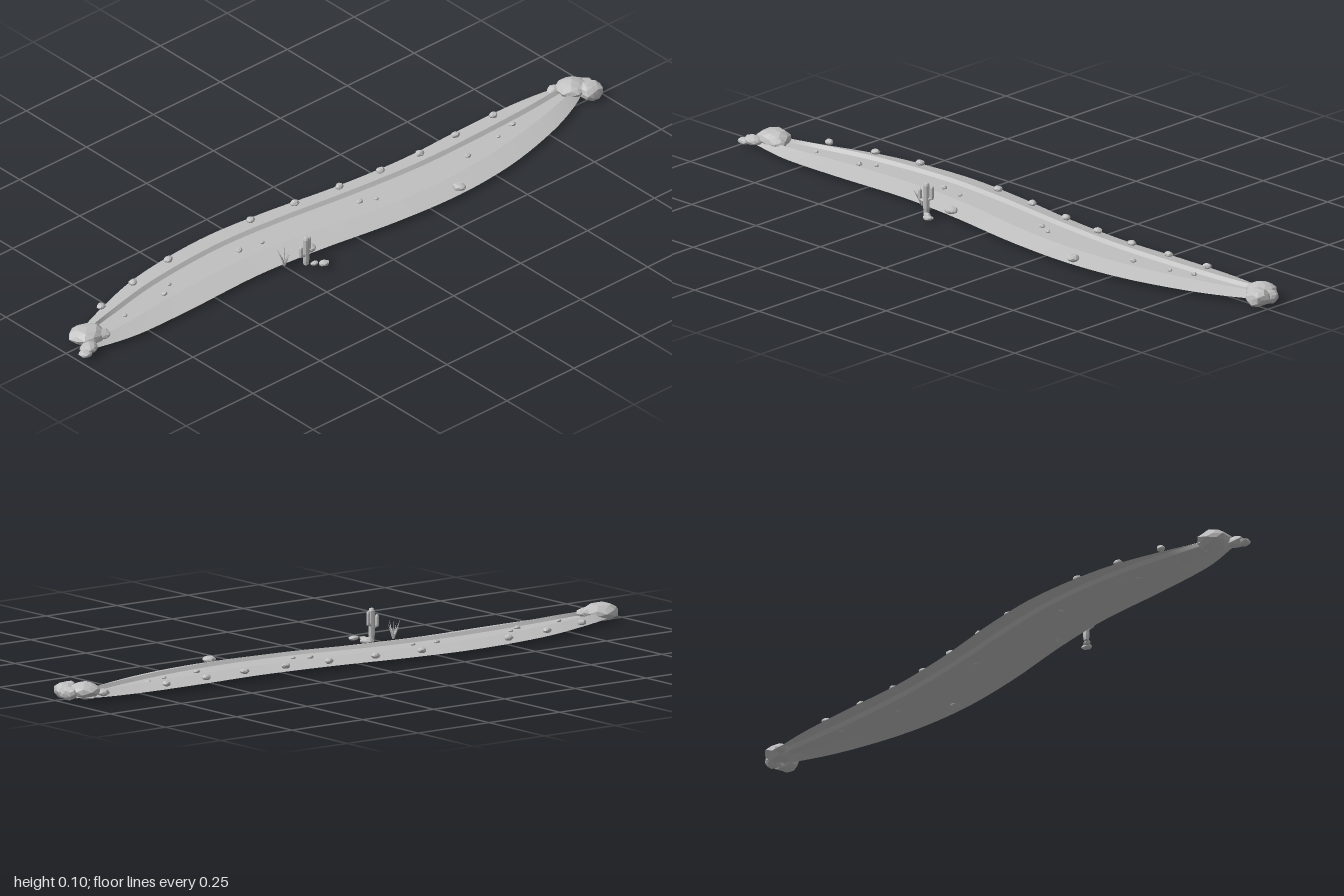
import * as THREE from 'three';
import { mergeVertices } from 'three/addons/utils/BufferGeometryUtils.js';

const stone = new THREE.MeshStandardMaterial({ color: 0xc0c0c0, flatShading: true });
stone.name = 'pale grey';
const ground = new THREE.MeshStandardMaterial({ color: 0xc0c0c0, side: THREE.DoubleSide });
ground.name = 'pale grey ground';

// Small repeatable number source for rock shapes
function seeded(seed) {
  let s = seed * 7919 + 17;
  return () => (s = (s * 16807) % 2147483647) / 2147483647;
}

// Rails of the riverbed: z at shared x stations
const stations = [-.94, -.8, -.6, -.35, -.13, .12, .35, .56, .76, .9, .97];
const rail = (zs) => new THREE.SplineCurve(zs.map((z, i) => new THREE.Vector2(stations[i], z)));
const outerBack = rail([-.03, -.088, -.148, -.173, -.158, -.122, -.104, -.109, -.108, -.092, -.06]);
const crestBack = rail([-.01, -.047, -.088, -.107, -.094, -.064, -.045, -.045, -.053, -.064, -.05]);
const crestFront = rail([.03, .027, .008, 0, .018, .06, .072, .055, .014, -.025, -.045]);
const outerFront = rail([.047, .075, .078, .072, .09, .125, .139, .12, .068, .008, -.04]);

// A strip of surface between two rails; each end is [rail, y, z offset]
function strip(name, a, b, steps = 60) {
  const pos = [], index = [];
  for (let i = 0; i <= steps; i++) {
    const t = i / steps;
    const taper = Math.min(1, t * 8, (1 - t) * 8);
    for (const [curve, y, dz] of [a, b]) {
      const p = curve.getPoint(t);
      pos.push(p.x, y, p.y + dz * taper);
    }
    if (i < steps) {
      const k = i * 2;
      index.push(k, k + 1, k + 2, k + 1, k + 3, k + 2);
    }
  }
  const g = new THREE.BufferGeometry();
  g.setAttribute('position', new THREE.Float32BufferAttribute(pos, 3));
  g.setIndex(index);
  g.computeVertexNormals();
  const m = new THREE.Mesh(g, ground);
  m.name = name;
  return m;
}

// Faceted rock with slightly uneven corners
function rock(name, x, y, z, rx, ry, rz, seed, detail = 1) {
  const rnd = seeded(seed);
  let g = new THREE.IcosahedronGeometry(1, detail);
  g.deleteAttribute('normal');
  g.deleteAttribute('uv');
  g = mergeVertices(g, 1e-3);
  const p = g.attributes.position;
  for (let i = 0; i < p.count; i++) {
    const k = 0.86 + 0.2 * rnd();
    p.setXYZ(i, p.getX(i) * k * rx, p.getY(i) * k * ry, p.getZ(i) * k * rz);
  }
  g.rotateY(rnd() * 0.5 - 0.25);
  g.computeVertexNormals();
  const m = new THREE.Mesh(g, stone);
  m.name = name;
  m.position.set(x, y, z);
  return m;
}

// Upright cactus limb with a rounded top
function limb(name, x, y, z, r, h) {
  const profile = [[0, 0], [r * .85, 0], [r, h * .15], [r, h - r], [r * .7, h - r * .3], [0, h]];
  const g = new THREE.LatheGeometry(profile.map(([a, b]) => new THREE.Vector2(a, b)), 8);
  const m = new THREE.Mesh(g, stone);
  m.name = name;
  m.position.set(x, y, z);
  return m;
}

export function createModel() {
  const model = new THREE.Group();
  model.name = 'dryRiverbed';

  // Channel: sloping banks, steep inner walls and the flat bed
  const bed = .018, crest = .028, rim = .013, w = .009;
  model.add(
    strip('backBank', [outerBack, rim, 0], [crestBack, crest, 0]),
    strip('backWall', [crestBack, crest, 0], [crestBack, bed, w]),
    strip('bed', [crestBack, bed, w], [crestFront, bed, -w]),
    strip('frontWall', [crestFront, bed, -w], [crestFront, crest, 0]),
    strip('frontBank', [crestFront, crest, 0], [outerFront, rim, 0])
  );

  // Boulders closing both ends
  const boulders = [
    [-.92, .028, -.003, .056, .026, .05], [-.955, .024, .045, .032, .015, .024],
    [-.978, .019, .058, .021, .01, .018], [-.885, .024, .02, .026, .016, .024],
    [.93, .03, -.046, .046, .026, .046], [.962, .027, -.002, .037, .028, .035],
    [.892, .023, -.077, .022, .012, .02], [.975, .024, -.035, .024, .02, .026]
  ];
  boulders.forEach((b, i) => model.add(rock('boulder', ...b, i + 1)));

  // Stones along the back bank
  const bankStones = [[-.79, -.088], [-.642, -.12], [-.49, -.142], [-.185, -.14], [-.035, -.123],
    [.115, -.104], [.254, -.088], [.393, -.08], [.532, -.085], [.677, -.09]];
  bankStones.forEach(([x, z], i) => model.add(rock('bankStone', x, .025, z, .014, .009, .012, i + 20)));

  // Pebbles lying in the bed
  const pebbles = [[-.768, -.013], [-.612, -.024], [-.57, -.05], [-.308, -.05], [-.233, -.038],
    [.11, -.013], [.153, .008], [.49, .013], [.618, -.003], [.69, -.024]];
  pebbles.forEach(([x, z], i) => {
    const r = i % 2 ? .011 : .008;
    model.add(rock('pebble', x, .021, z, r, r * .7, r * .9, i + 40, 0));
  });

  // Larger stones on the front bank and just beyond it
  model.add(
    rock('frontStone', -.158, .023, .073, .021, .011, .02, 60),
    rock('frontStone', .362, .024, .12, .018, .011, .02, 61),
    rock('looseStone', -.172, .017, .152, .017, .007, .013, 62),
    rock('looseStone', -.193, .017, .135, .012, .006, .009, 63)
  );

  // Cactus: a trunk and two side arms joined by short elbows
  const cactus = new THREE.Group();
  cactus.name = 'cactus';
  cactus.position.set(-.21, 0, .119);
  cactus.add(limb('trunk', 0, .014, 0, .009, .09));
  for (const [dx, dz, y, h] of [[-.022, .004, .048, .034], [.016, -.005, .056, .04]]) {
    cactus.add(limb('arm', dx, y, dz, .0055, h));
    const path = new THREE.LineCurve3(new THREE.Vector3(0, y - .003, 0), new THREE.Vector3(dx, y + .003, dz));
    const elbow = new THREE.Mesh(new THREE.TubeGeometry(path, 1, .0048, 6), stone);
    elbow.name = 'elbow';
    cactus.add(elbow);
  }
  model.add(cactus);

  // Spiky plant: tapered blades leaning outward
  const plant = new THREE.Group();
  plant.name = 'spikyPlant';
  plant.position.set(-.26, .016, .085);
  for (let i = 0; i < 7; i++) {
    const a = i / 7 * Math.PI * 2, h = i % 2 ? .058 : .045;
    const g = new THREE.ConeGeometry(.0035, h, 4);
    g.translate(0, h / 2, 0);
    const blade = new THREE.Mesh(g, stone);
    blade.name = 'blade';
    blade.rotation.set(0, a, -.36 - .08 * (i % 3), 'YXZ');
    plant.add(blade);
  }
  model.add(plant);
  return model;
}
